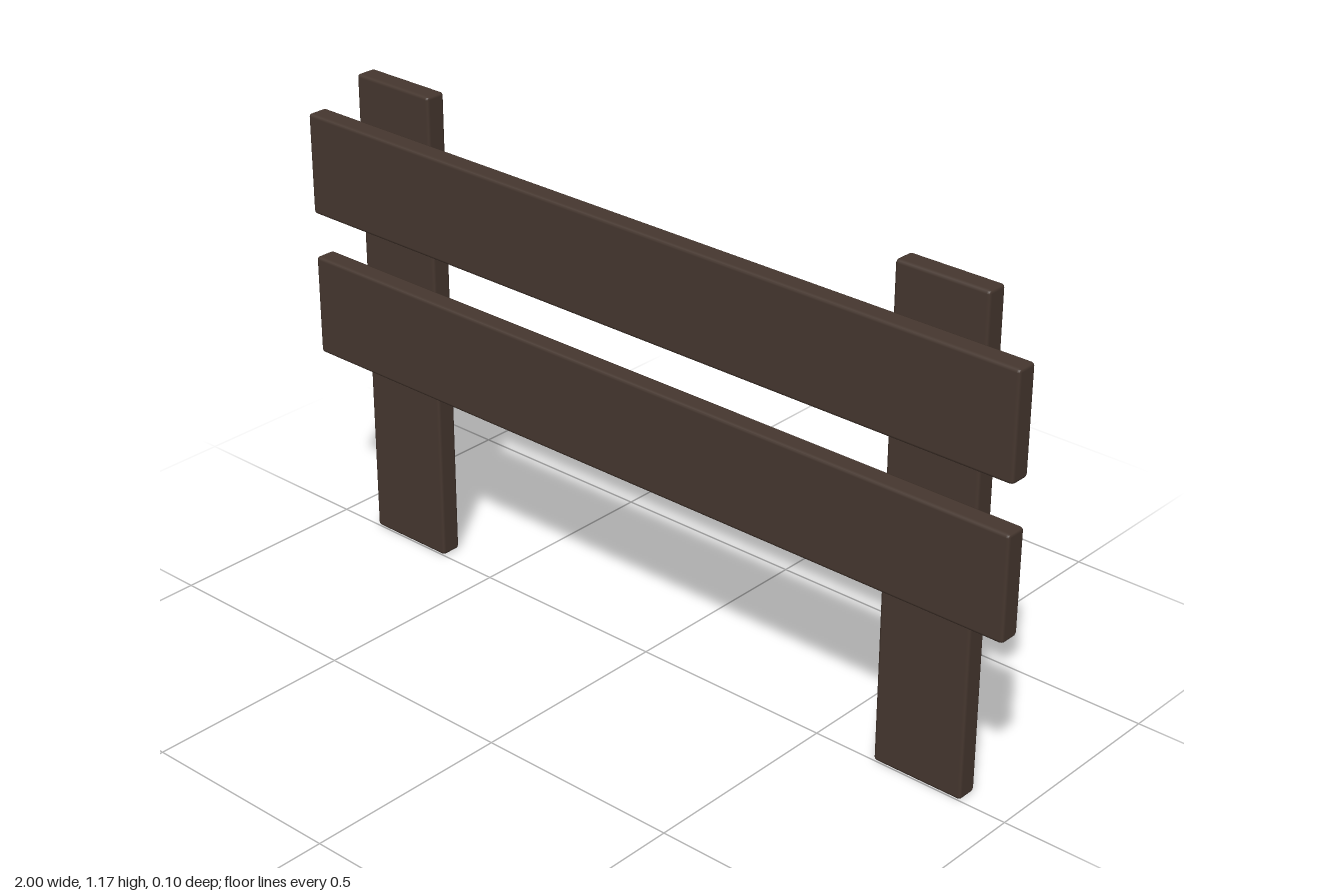
import * as THREE from 'three';
import { RoundedBoxGeometry } from 'three/addons/geometries/RoundedBoxGeometry.js';

const THICKNESS = 0.052;
const BEVEL = 0.008;

export function createModel() {
  const fence = new THREE.Group();
  fence.name = 'fence';

  const darkWood = new THREE.MeshStandardMaterial({ color: 0x46372f });
  darkWood.name = 'darkWood';

  // A plank with softened edges
  function addPlank(name, width, height, x, y, z) {
    const geometry = new RoundedBoxGeometry(width, height, THICKNESS, 1, BEVEL);
    const plank = new THREE.Mesh(geometry, darkWood);
    plank.name = name;
    plank.position.set(x, y, z);
    fence.add(plank);
  }

  // Two upright posts behind the rails
  const postHeight = 1.175;
  for (const [name, side] of [['leftPost', 1], ['rightPost', -1]]) {
    addPlank(name, 0.23, postHeight, side * 0.77, postHeight / 2, -THICKNESS / 2);
  }

  // Two horizontal rails fixed to the front of the posts
  for (const [name, y] of [['lowerRail', 0.579], ['upperRail', 0.939]]) {
    addPlank(name, 2, 0.25, 0, y, THICKNESS / 2);
  }

  return fence;
}
